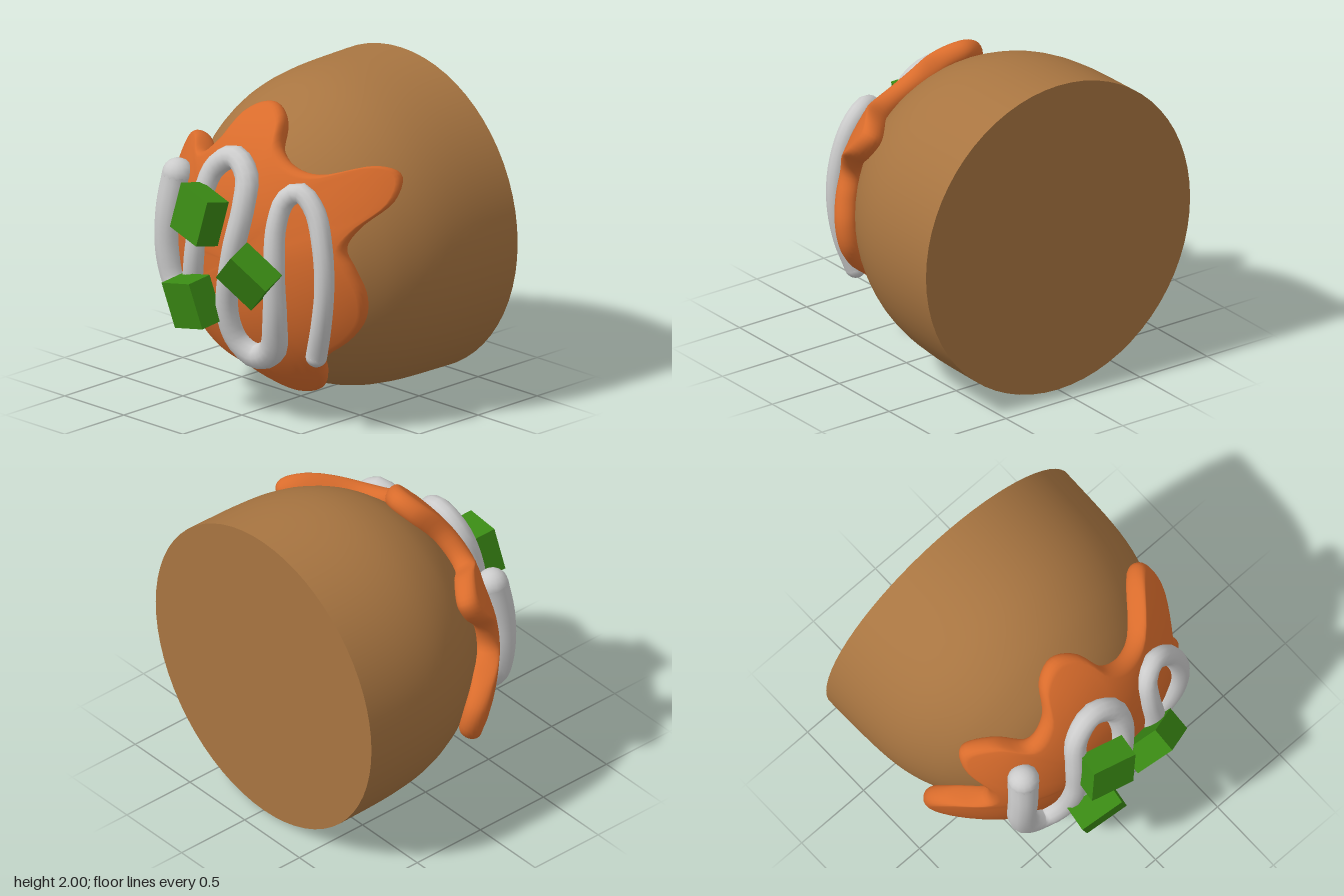
import * as THREE from 'three';

const V2 = (a) => a.map(([x, y]) => new THREE.Vector2(x, y));
const mat = (color, flatShading = false) => new THREE.MeshStandardMaterial({ color, flatShading });

// Dome profile (radius, z) from the front tip to the flat back
const profile = new THREE.SplineCurve(V2([
  [0, 0.5], [0.3, 0.46], [0.5, 0.385], [0.66, 0.28], [0.79, 0.14], [0.88, 0],
  [0.955, -0.2], [0.99, -0.45], [1, -0.85],
]));

function frame(u) {
  const p = profile.getPointAt(u), t = profile.getTangentAt(u);
  return { p, t, n: new THREE.Vector2(-t.y, t.x) };
}

function addMesh(parent, name, geometry, material) {
  const m = new THREE.Mesh(geometry, material);
  m.name = name;
  parent.add(m);
  return m;
}

// Smooth surface from a grid of points; rows may close on themselves
function gridGeometry(rows, closeRows, closeCols) {
  const n = rows.length, m = rows[0].length, index = [];
  for (let i = 0; i < (closeRows ? n : n - 1); i++) {
    for (let j = 0; j < (closeCols ? m : m - 1); j++) {
      const i2 = (i + 1) % n, j2 = (j + 1) % m;
      const a = i * m + j, b = i * m + j2, c = i2 * m + j2, d = i2 * m + j;
      index.push(a, c, b, a, d, c);
    }
  }
  const g = new THREE.BufferGeometry().setFromPoints(rows.flat());
  g.setIndex(index);
  g.computeVertexNormals();
  return g;
}

// Sauce: lobed patch following the dome, with a rounded rim
function sauceGeometry() {
  const outline = new THREE.CatmullRomCurve3([
    [-0.06, 1.87], [0.08, 1.82], [0.17, 1.69], [0.3, 1.61], [0.47, 1.58], [0.7, 1.63],
    [0.8, 1.58], [0.83, 1.44], [0.74, 1.3], [0.7, 1.18], [0.75, 1.05], [0.79, 0.9],
    [0.77, 0.74], [0.68, 0.6], [0.5, 0.44], [0.43, 0.3], [0.34, 0.2], [0.18, 0.16],
    [0.05, 0.22], [-0.06, 0.28], [-0.3, 0.35], [-0.48, 0.49], [-0.62, 0.57], [-0.8, 0.56],
    [-0.91, 0.66], [-0.95, 0.85], [-0.89, 0.97], [-0.74, 1.05], [-0.72, 1.2],
    [-0.78, 1.38], [-0.75, 1.5], [-0.6, 1.56], [-0.45, 1.52], [-0.3, 1.64], [-0.2, 1.81],
  ].map(([x, y]) => new THREE.Vector3(x, y - 1, 0)), true);
  const k = 0.07, lift = 0.06, rows = [];
  const N = 160;
  for (let i = 0; i < N; i++) {
    const o = outline.getPoint(i / N), R = o.length(), row = [];
    // Find where the rim sits on the dome
    let lo = 0, hi = 1;
    for (let s = 0; s < 18; s++) {
      const mid = (lo + hi) / 2, f = frame(mid);
      if (f.p.x + f.n.x * lift + k * Math.max(f.t.x, 0.6) < R) lo = mid; else hi = mid;
    }
    const put = (f, h, along) => {
      const r = f.p.x + f.n.x * h + f.t.x * along;
      row.push(new THREE.Vector3(o.x / R * r, o.y / R * r + 1, f.p.y + f.n.y * h + f.t.y * along));
    };
    for (let j = 0; j < 12; j++) put(frame(lo * j / 12), 0.11 + 0.02 * j / 12, 0);
    const edge = frame(lo);
    for (let j = 0; j <= 10; j++) {
      const a = Math.PI * (0.5 - j / 10);
      put(edge, lift + k * Math.sin(a), k * Math.cos(a));
    }
    rows.push(row);
  }
  return gridGeometry(rows, true, false);
}

// Drizzle: tapering round rope waving over the sauce
function addDrizzle(parent) {
  const curve = new THREE.CatmullRomCurve3([
    [-0.58, 1.38], [-0.61, 1.15], [-0.62, 0.9], [-0.57, 0.7], [-0.45, 0.63], [-0.35, 0.74],
    [-0.29, 1], [-0.26, 1.3], [-0.2, 1.53], [-0.06, 1.62], [0.07, 1.54], [0.1, 1.36],
    [0.05, 1.05], [-0.02, 0.67], [0.02, 0.48], [0.13, 0.41], [0.27, 0.48], [0.34, 0.7],
    [0.36, 1], [0.35, 1.3], [0.38, 1.46], [0.46, 1.51], [0.57, 1.42], [0.65, 1.2],
    [0.67, 0.95], [0.63, 0.7], [0.56, 0.49],
  ].map(([x, y]) => new THREE.Vector3(x, y, 0.635 - 0.36 * (x * x + (y - 1) ** 2))));
  const widths = [0.097, 0.09, 0.075, 0.065, 0.07, 0.075, 0.07, 0.075, 0.085, 0.07, 0.062, 0.065, 0.062, 0.066];
  const radius = (u) => {
    const f = u * (widths.length - 1), i = Math.min(Math.floor(f), widths.length - 2);
    return THREE.MathUtils.lerp(widths[i], widths[i + 1], f - i);
  };
  const steps = 110, sides = 12, rows = [];
  const front = new THREE.Vector3(0, 0, 1);
  for (let i = 0; i <= steps; i++) {
    const u = i / steps, p = curve.getPointAt(u), t = curve.getTangentAt(u);
    const side = new THREE.Vector3().crossVectors(t, front).normalize();
    const up = new THREE.Vector3().crossVectors(side, t);
    rows.push(Array.from({ length: sides }, (_, j) => {
      const a = j / sides * Math.PI * 2, r = radius(u);
      return p.clone().addScaledVector(side, r * Math.cos(a)).addScaledVector(up, r * Math.sin(a));
    }));
  }
  const white = mat(0xcccccc);
  addMesh(parent, 'drizzleRope', gridGeometry(rows, false, true), white);
  for (const u of [0, 1]) {
    addMesh(parent, 'drizzleEnd', new THREE.SphereGeometry(radius(u), 14, 10), white)
      .position.copy(curve.getPointAt(u));
  }
}

export function createModel() {
  const model = new THREE.Group();
  model.name = 'toppedBall';

  // Bitten-off ball with a flat back
  const body = new THREE.Group();
  body.name = 'body';
  body.scale.x = 0.985;
  body.position.y = 1;
  model.add(body);
  const brown = mat(0xa87541);
  const dome = new THREE.LatheGeometry(profile.getSpacedPoints(28).reverse(), 64);
  addMesh(body, 'dome', dome.rotateX(Math.PI / 2), brown);
  const back = addMesh(body, 'flatBack', new THREE.CircleGeometry(1, 64), brown);
  back.rotation.y = Math.PI;
  back.position.z = -0.85;

  addMesh(model, 'sauce', sauceGeometry(), mat(0xd96c2c));

  const drizzle = new THREE.Group();
  drizzle.name = 'drizzle';
  model.add(drizzle);
  addDrizzle(drizzle);

  // Diced garnish: position, then tilt in degrees
  const green = mat(0x3a8a14, true);
  for (const [pos, tilt] of [
    [[-0.14, 1.29, 0.72], [-10, -10, -11]],
    [[-0.21, 0.72, 0.71], [10, -7, 15]],
    [[0.26, 0.99, 0.7], [25, 2, 45]],
  ]) {
    const cube = addMesh(model, 'garnishCube', new THREE.BoxGeometry(0.29, 0.29, 0.16), green);
    cube.position.set(...pos);
    cube.rotation.set(...tilt.map(THREE.MathUtils.degToRad));
  }
  return model;
}
